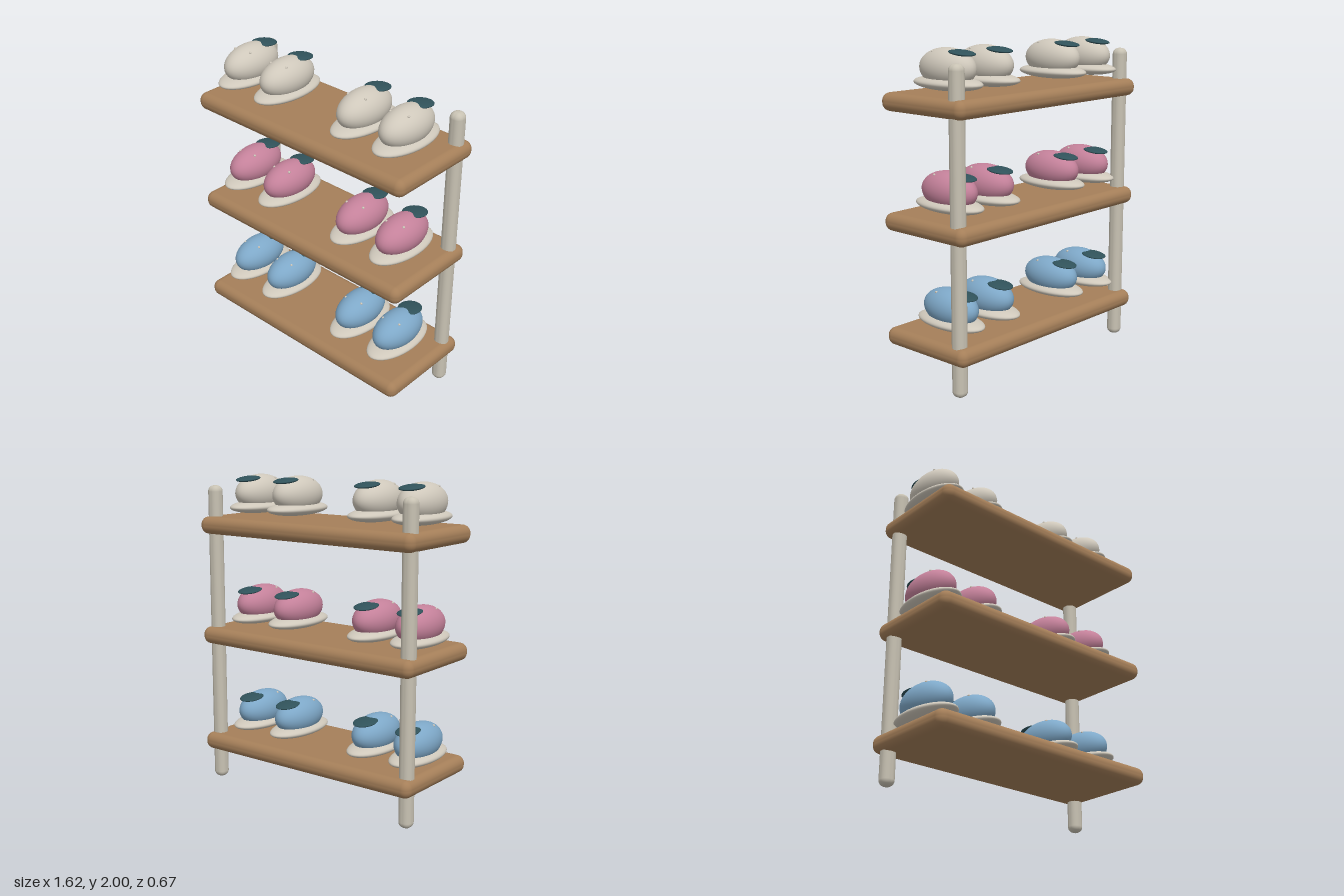
import * as THREE from 'three';
import { RoundedBoxGeometry } from 'three/addons/geometries/RoundedBoxGeometry.js';

const mat = (name, color) => {
  const m = new THREE.MeshStandardMaterial({ color });
  m.name = name;
  return m;
};

export function createModel() {
  const wood = mat('wood', 0xa57f59);
  const post = mat('post', 0xc8c2b3);
  const cream = mat('cream', 0xcfc8bb);
  const pink = mat('pink', 0xc4819a);
  const blue = mat('blue', 0x7ea8c8);
  const dark = mat('darkTeal', 0x30525a);

  const model = new THREE.Group();
  model.name = 'shoeRack';

  const add = (parent, name, geometry, material, x, y, z) => {
    const mesh = new THREE.Mesh(geometry, material);
    mesh.name = name;
    mesh.position.set(x, y, z);
    parent.add(mesh);
    return mesh;
  };
  const ellipsoid = (rx, ry, rz, w = 36, h = 24) =>
    new THREE.SphereGeometry(1, w, h).scale(rx, ry, rz);

  // Shared geometries
  const shelfGeo = new RoundedBoxGeometry(1.62, 0.11, 0.665, 5, 0.05);
  const postGeo = new RoundedBoxGeometry(0.087, 1.935, 0.087, 5, 0.038);
  const soleGeo = ellipsoid(0.13, 0.043, 0.255);
  const upperGeo = ellipsoid(0.117, 0.117, 0.203);
  const openingGeo = ellipsoid(0.072, 0.015, 0.086);
  const eyeletGeo = ellipsoid(0.008, 0.008, 0.008, 10, 8);

  // Two uprights at the back corners
  for (const s of [-1, 1]) {
    add(model, s > 0 ? 'leftPost' : 'rightPost', postGeo, post, s * 0.742, 0.9675, -0.24);
  }

  // One shoe: sole, rounded upper, foot opening, eyelets
  const makeShoe = (upperMaterial) => {
    const shoe = new THREE.Group();
    shoe.name = 'shoe';
    add(shoe, 'sole', soleGeo, cream, 0, 0.113, 0);
    add(shoe, 'upper', upperGeo, upperMaterial, 0, 0.2, 0);
    const opening = add(shoe, 'footOpening', openingGeo, dark, 0, 0.291, -0.115);
    opening.rotation.x = -0.12;
    add(shoe, 'eyelet', eyeletGeo, cream, -0.06, 0.29, 0.075);
    add(shoe, 'eyelet', eyeletGeo, cream, 0.06, 0.293, 0.063);
    return shoe;
  };

  // Three shelves, each holding two pairs of one colour
  [blue, pink, cream].forEach((upperMaterial, i) => {
    const tier = new THREE.Group();
    tier.name = 'tier' + (i + 1);
    tier.position.y = 0.255 + i * 0.715;
    add(tier, 'shelf', shelfGeo, wood, 0, 0, 0);
    for (const x of [-0.663, -0.353, 0.263, 0.573]) {
      const shoe = makeShoe(upperMaterial);
      shoe.position.x = x;
      tier.add(shoe);
    }
    model.add(tier);
  });

  return model;
}
